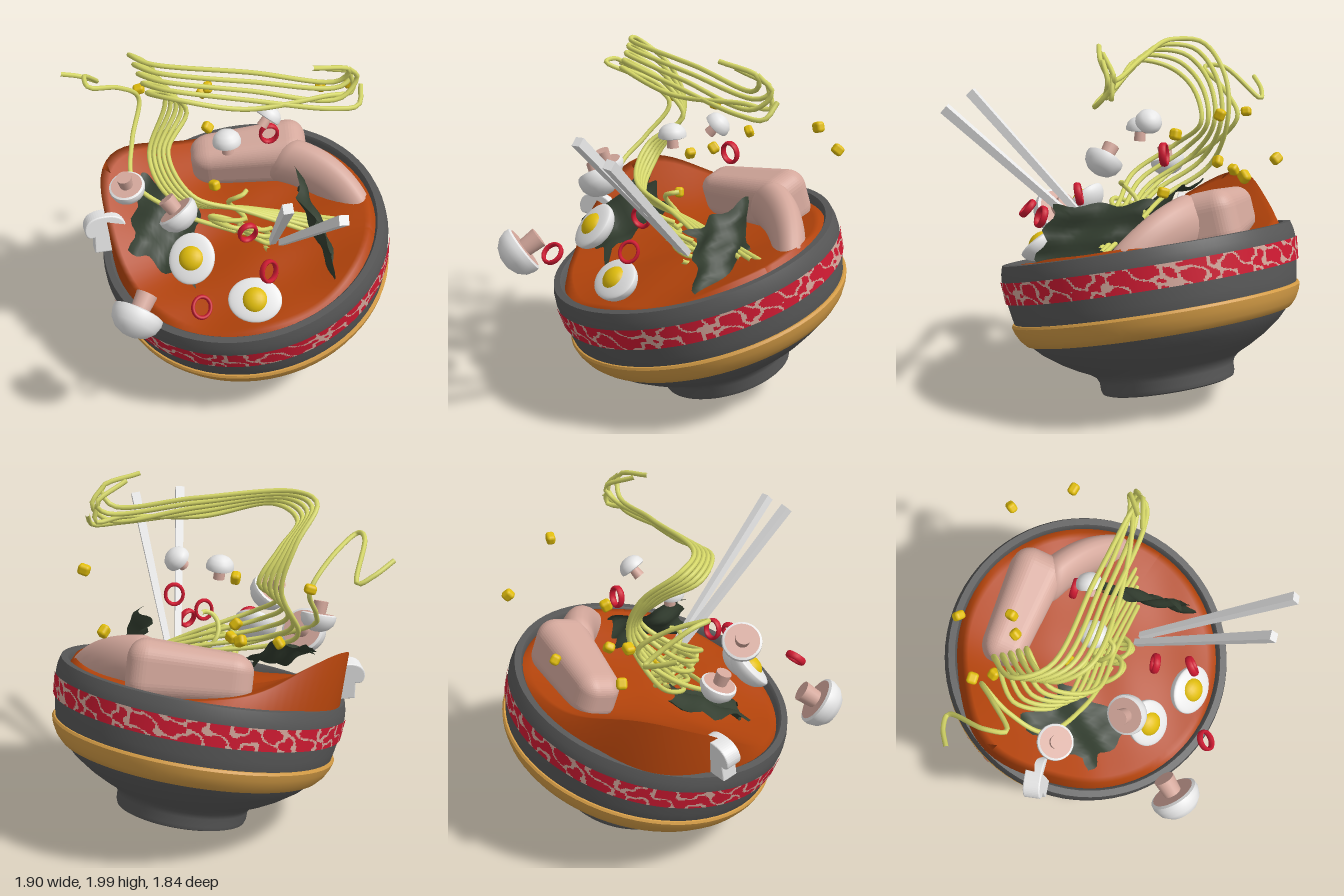
import * as THREE from 'three';
import { toCreasedNormals } from 'three/addons/utils/BufferGeometryUtils.js';
import { RoundedBoxGeometry } from 'three/addons/geometries/RoundedBoxGeometry.js';

const V = (x, y, z) => new THREE.Vector3(x, y, z);
const UP = V(0, 1, 0);

function mat(name, color, double) {
  const m = new THREE.MeshStandardMaterial({ color });
  m.name = name;
  if (double) m.side = THREE.DoubleSide;
  return m;
}

// Move every vertex of a geometry by a rule
function warp(geo, rule) {
  const p = geo.attributes.position, v = V(0, 0, 0);
  for (let i = 0; i < p.count; i++) {
    v.fromBufferAttribute(p, i);
    rule(v);
    p.setXYZ(i, v.x, v.y, v.z);
  }
  geo.computeVertexNormals();
  return geo;
}

export function createModel() {
  const M = {
    bowl: mat('bowl grey', 0x575757),
    red: mat('chili red', 0xcf1a32),
    pink: mat('meat pink', 0xd4a89c),
    gold: mat('gold', 0xd39b45),
    soup: mat('broth orange', 0xb2430b, true),
    noodle: mat('noodle yellow green', 0xd6d868),
    yellow: mat('yolk yellow', 0xe0bd0c),
    white: mat('white', 0xe6e6e6),
    nori: mat('seaweed green', 0x333e30, true),
  };
  const root = new THREE.Group();
  const add = (parent, name, geo, m) => {
    const mesh = new THREE.Mesh(geo, m);
    mesh.name = name;
    parent.add(mesh);
    return mesh;
  };
  const group = (name, pos, parent = root) => {
    const g = new THREE.Group();
    g.name = name;
    g.position.copy(pos);
    parent.add(g);
    return g;
  };
  const lathe = (pts) => toCreasedNormals(
    new THREE.LatheGeometry(pts.map(([r, h]) => new THREE.Vector2(r, h)), 72), 0.75);

  // Tilted bowl
  const bowl = group('bowl', V(0.205, 0.1, -0.25));
  bowl.quaternion.setFromUnitVectors(UP, V(-0.116, 0.964, 0.241).normalize());
  add(bowl, 'bowlBody', lathe([
    [0, 0.012], [0.31, 0.012], [0.345, 0], [0.365, 0.008], [0.373, 0.03], [0.374, 0.075], [0.388, 0.105], [0.425, 0.133],
    [0.49, 0.165], [0.57, 0.212], [0.66, 0.278], [0.735, 0.355], [0.782, 0.45], [0.795, 0.52], [0.806, 0.588],
    [0.818, 0.7], [0.814, 0.75], [0.802, 0.795], [0.765, 0.797], [0.752, 0.78], [0.75, 0.68], [0, 0.66],
  ]), M.bowl);
  add(bowl, 'goldBand', lathe([
    [0.715, 0.34], [0.738, 0.342], [0.768, 0.375], [0.792, 0.42], [0.802, 0.455], [0.795, 0.468], [0.772, 0.47],
  ]), M.gold);

  // Patterned rim band: cells of a strip sorted into two colours
  const cols = 540, rows = 18, cells = [[], []], pos = [];
  for (let j = 0; j <= rows; j++) for (let i = 0; i <= cols; i++) {
    const a = i / cols * Math.PI * 2, r = 0.815 + 0.01 * j / rows;
    pos.push(r * Math.sin(a), 0.588 + 0.122 * j / rows, r * Math.cos(a));
  }
  for (let j = 0; j < rows; j++) for (let i = 0; i < cols; i++) {
    const a = i / cols * Math.PI * 2, b = j / rows;
    const f = Math.sin(26 * a + 3.5 * b + Math.sin(5 * a)) + Math.sin(19 * a - 5 * b + Math.sin(7 * a))
      + Math.sin(9 * a + 5 * b + 1) + 0.35 * Math.sin(55 * a + 11 * b);
    const k = j * (cols + 1) + i, n = k + cols + 1;
    cells[Math.abs(f) < 0.5 ? 1 : 0].push(k, k + 1, n + 1, k, n + 1, n);
  }
  const band = new THREE.BufferGeometry();
  band.setAttribute('position', new THREE.Float32BufferAttribute(pos, 3));
  band.setIndex(cells[0].concat(cells[1]));
  band.addGroup(0, cells[0].length, 0);
  band.addGroup(cells[0].length, cells[1].length, 1);
  band.computeVertexNormals();
  add(bowl, 'patternBand', band, [M.red, M.pink]);

  // Broth with a wave splashing over one side and a low swell opposite
  const R = 0.755;
  const broth = new THREE.RingGeometry(0.001, R, 96, 24).rotateX(-Math.PI / 2);
  add(bowl, 'broth', warp(broth, (v) => {
    const r = Math.hypot(v.x, v.z), edge = r > R - 0.001;
    const a = Math.atan2(v.z, v.x);
    let d = a - (Math.PI + 0.26);
    d = Math.atan2(Math.sin(d), Math.cos(d));
    const w = Math.exp(-((d / (d < 0 ? 0.75 : 0.65)) ** 2));
    const swell = 0.045 * Math.exp(-((a / 0.6) ** 2)) * (r / R) ** 2;
    const ripple = 0.014 * Math.sin(9 * v.x + 4 * v.z) * Math.sin(7 * v.z);
    v.y = edge ? 0.74 : 0.765 + 0.37 * w * (r / R) ** 2.1 + swell + ripple;
    const s = 1 + (edge ? 0.06 : 0.13) * Math.exp(-((d / 0.36) ** 2)) * (r / R) ** 3;
    v.x *= s; v.z *= s;
  }), M.soup);

  // Meat: a wide tapered slab and a bent piece
  const slab = warp(new RoundedBoxGeometry(0.67, 0.34, 0.32, 6, 0.11), (v) => {
    const t = 0.87 + 0.4 * v.x;
    v.z *= t; v.y *= t;
  });
  const slabMesh = add(root, 'meatSlab', slab, M.pink);
  slabMesh.position.set(0.08, 1.06, -0.5);
  slabMesh.rotation.set(0.28, 0.22, 0.05);
  const strip = warp(new THREE.CapsuleGeometry(0.1, 0.48, 8, 20, 16).rotateZ(Math.PI / 2), (v) => {
    const t = 0.95 - 0.5 * v.x;
    v.y = v.y * 1.5 * t - 0.7 * v.x * v.x;
    v.z = v.z * t + 0.4 * v.x * v.x;
  });
  const stripMesh = add(root, 'meatStrip', strip, M.pink);
  stripMesh.position.set(0.55, 1.03, -0.38);
  stripMesh.rotation.set(0, -0.4, -0.36);

  // Chopsticks
  for (const [a, b] of [[V(0.31, 0.93, 0.13), V(0.47, 1.69, 0.84)], [V(0.36, 0.93, 0.13), V(0.74, 1.64, 0.82)]]) {
    const stick = add(root, 'chopstick', toCreasedNormals(
      new THREE.CylinderGeometry(0.036, 0.024, a.distanceTo(b), 4).rotateY(Math.PI / 4 + 0.35), 0.5), M.white);
    stick.position.copy(a).lerp(b, 0.5);
    stick.quaternion.setFromUnitVectors(UP, b.clone().sub(a).normalize());
  }

  // Halved eggs, softly rounded cut side along local +z: [centre, facing, width, height]
  for (const [p, n, w, h] of [[V(-0.08, 1.015, 0.46), V(-0.08, 0.66, 0.74), 0.125, 0.14],
    [V(0.275, 0.835, 0.53), V(0.05, 0.73, 0.68), 0.145, 0.122]]) {
    const egg = group('halfEgg', p);
    egg.lookAt(p.clone().add(n));
    const half = () => new THREE.SphereGeometry(1, 32, 10, 0, Math.PI * 2, 0, Math.PI / 2);
    add(egg, 'eggBack', half().rotateX(-Math.PI / 2), M.white).scale.set(w, h, 0.095);
    add(egg, 'eggFace', half().rotateX(Math.PI / 2), M.white).scale.set(w, h, 0.025);
    add(egg, 'yolk', new THREE.SphereGeometry(0.073, 24, 12), M.yellow).scale.set(1, 1, 0.72);
  }

  // Mushrooms: [centre, direction of the cap, cap radius]
  const mushrooms = [
    [V(-0.5, 1.2, 0.13), V(0.1, -0.9, -0.3), 0.1],
    [V(-0.17, 1.24, 0.37), V(0.6, -0.7, 0.12), 0.112],
    [V(-0.31, 0.86, 0.79), V(-0.25, -0.55, 0.75), 0.14],
    [V(0.035, 1.49, 0.02), V(-0.1, 1, 0), 0.078],
    [V(0.235, 1.57, -0.14), V(0.45, 0.7, -0.5), 0.072],
  ];
  for (const [p, dir, size] of mushrooms) {
    const g = group('mushroom', p);
    g.quaternion.setFromUnitVectors(UP, dir.normalize());
    g.scale.setScalar(size);
    add(g, 'mushroomCap', lathe([[0.85, -0.2], [0.98, -0.14], [1, 0.05], [0.9, 0.38], [0.65, 0.65], [0.3, 0.8], [0, 0.83]]), M.white);
    add(g, 'mushroomUnderside', new THREE.CircleGeometry(0.87, 32).rotateX(Math.PI / 2).translate(0, -0.2, 0), M.pink);
    add(g, 'mushroomStem', new THREE.CylinderGeometry(0.36, 0.42, 0.75, 20).translate(0, -0.52, 0), M.pink);
  }
  // Flat mushroom slice
  const s = new THREE.Shape();
  s.moveTo(-0.06, -0.12);
  s.lineTo(0.06, -0.12);
  s.lineTo(0.06, -0.02);
  s.quadraticCurveTo(0.11, -0.04, 0.11, 0.02);
  s.quadraticCurveTo(0.1, 0.09, 0, 0.09);
  s.quadraticCurveTo(-0.1, 0.09, -0.11, 0.02);
  s.quadraticCurveTo(-0.11, -0.04, -0.06, -0.02);
  const slice = add(root, 'mushroomSlice', new THREE.ExtrudeGeometry(s, { depth: 0.08, bevelSize: 0.008, bevelThickness: 0.008 }), M.white);
  slice.position.set(-0.665, 0.87, 0.06);
  slice.rotation.set(-0.15, 0.4, 0.05);

  // Chili rings: [position, rotation x, rotation y]
  for (const [p, rx, ry] of [[V(0.23, 1.4, -0.23), 0.1, 0.3], [V(0.2, 1.12, 0.32), 0.2, 0.5],
    [V(0.03, 0.95, 0.77), -0.8, 0.4], [V(0.34, 1, 0.48), -0.5, 0.8]]) {
    const ring = add(root, 'chiliRing', new THREE.TorusGeometry(0.05, 0.01, 8, 24), M.red);
    ring.position.copy(p);
    ring.rotation.set(rx, ry, 0);
    ring.scale.set(0.95, 1.1, 2);
  }

  // Corn kernels
  [V(0.64, 1.6, -0.51), V(-0.14, 1.57, -0.38), V(-0.53, 1.53, -0.36), V(0.45, 1.38, -0.8),
    V(-0.23, 1.34, -0.68), V(-0.37, 1.22, -0.36), V(-0.14, 1.31, -0.37), V(-0.05, 1.12, -0.08)].forEach((p, i) => {
    const corn = add(root, 'cornKernel', new RoundedBoxGeometry(0.064, 0.058, 0.05, 3, 0.018), M.yellow);
    corn.position.copy(p);
    corn.rotation.set(i * 0.9, i * 1.7, 0.3);
  });

  // Seaweed sheets with ragged, wavy edges, spanned by two half vectors
  const seaweed = (c, a, b) => {
    const n = a.clone().cross(b).normalize();
    add(root, 'seaweed', warp(new THREE.PlaneGeometry(2, 2, 16, 12), (v) => {
      const x = v.x * (1 + 0.1 * Math.sin(8 * v.y)), y = v.y * (1 + 0.1 * Math.sin(7 * v.x + 1));
      const wave = 0.03 * Math.sin(4 * x + 2 * y) + 0.01 * Math.sin(7 * y);
      v.copy(c).addScaledVector(a, x).addScaledVector(b, y).addScaledVector(n, wave);
    }), M.nori);
  };
  seaweed(V(0.54, 1.0, 0.03), V(0.09, -0.02, 0.24), V(-0.08, 0.15, -0.02));
  seaweed(V(-0.29, 0.96, 0.13), V(0.18, -0.06, 0.03), V(0.02, -0.12, 0.21));

  // Noodles
  const noodle = (pts) => add(root, 'noodle', new THREE.TubeGeometry(new THREE.CatmullRomCurve3(pts), 90, 0.0135, 7), M.noodle);
  const ends = [
    [V(0.6, 1.84, -0.12), V(0.66, 1.93, -0.1), V(0.48, 1.99, 0.02)],
    [V(0.62, 1.8, -0.14), V(0.67, 1.86, -0.18), V(0.54, 1.96, -0.04)],
    [V(0.62, 1.75, -0.1), V(0.7, 1.85, -0.16), V(0.65, 1.94, -0.1)],
    [V(0.6, 1.72, -0.04), V(0.72, 1.72, -0.1), V(0.72, 1.8, -0.18)],
    [V(0.55, 1.77, -0.08), V(0.68, 1.76, -0.17), V(0.66, 1.88, -0.16)],
  ];
  ends.forEach((end, i) => {
    const k = i - 2, d = 0.035 * k;
    noodle([V(0.7 - 0.05 * i, 0.94, -0.05 + d), V(0.15, 1.05 + d * 0.6, 0.02 + d), V(-0.2 + d, 1.13 + d, 0.08 + d),
      V(-0.37 + d, 1.28 + d, -0.1 + d), V(-0.3 + d, 1.5, -0.27 + d * 0.7), V(-0.38 + 0.8 * d, 1.7 - d * 0.5, -0.2 + d),
      V(-0.45 + 0.9 * d, 1.84 - d, -0.02 + d), V(-0.3 + d, 1.88 - 0.8 * d, 0.1 + d), V(0.15, 1.82 - d, 0.02 + d), ...end]);
  });
  noodle([V(-0.94, 1.67, -0.22), V(-0.85, 1.61, -0.31), V(-0.77, 1.57, -0.34), V(-0.77, 1.74, -0.1), V(-0.72, 1.74, 0),
    V(-0.6, 1.64, -0.18), V(-0.52, 1.5, -0.31), V(-0.53, 1.32, -0.15), V(-0.48, 1.18, 0.05), V(-0.2, 1.05, 0.12), V(0.1, 0.95, 0.1)]);
  // Loose curls on the broth: [centre, radius, turns, drop]
  for (const [c, r, turns, drop] of [[V(0.2, 0.96, 0.05), 0.09, 3, 0.1], [V(0.1, 1.2, 0.05), 0.05, 1, 0.2], [V(0.05, 1.03, 0.08), 0.1, 2, 0.08]]) {
    const pts = [];
    for (let i = 0; i <= turns * 8; i++) {
      const a = i * Math.PI / 4;
      pts.push(V(c.x + r * Math.cos(a), c.y + 0.6 * r * Math.sin(a) - drop * i / (turns * 8), c.z + r * Math.sin(a * 1.05)));
    }
    noodle(pts);
  }
  return root;
}
